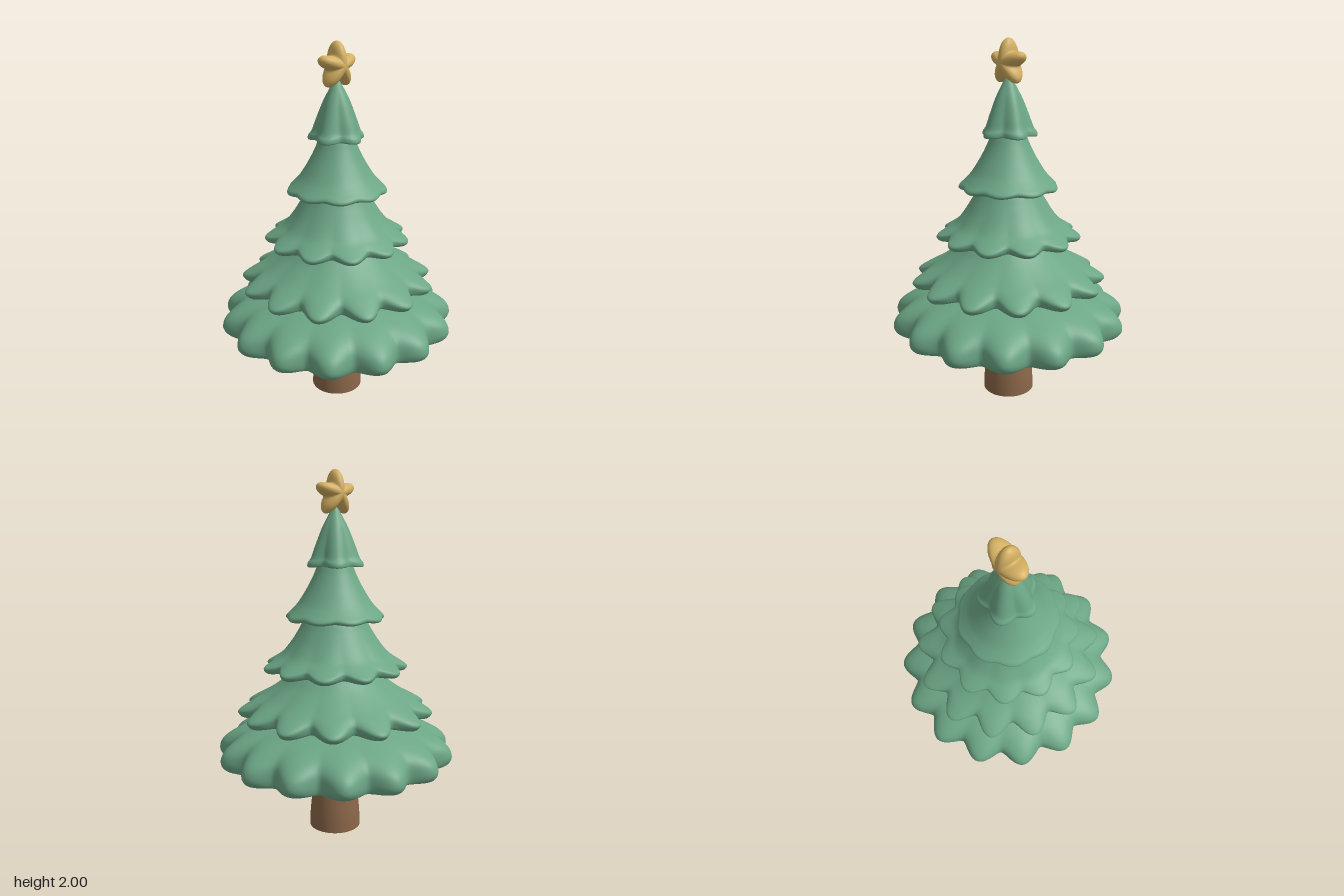
import * as THREE from 'three';
import { mergeVertices } from 'three/addons/utils/BufferGeometryUtils.js';

const mat = (name, color) => {
  const m = new THREE.MeshStandardMaterial({ color });
  m.name = name;
  return m;
};

// Weld the seam of a reshaped geometry and give it smooth normals
function smooth(geo) {
  geo.deleteAttribute('uv');
  geo.deleteAttribute('normal');
  const welded = mergeVertices(geo, 1e-5);
  welded.computeVertexNormals();
  return welded;
}

const curvePoints = (pts, n) =>
  new THREE.SplineCurve(pts.map(([r, y]) => new THREE.Vector2(r, y)))
    .getPoints(n)
    .map((p) => new THREE.Vector2(Math.max(p.x, 0), p.y));

// A revolved skirt of branches whose rim is pulled in between the lobes.
// profile runs from the underside centre, round the rim, up to the tip.
function tierGeometry({ lobes, valley, lift, fade, profile }) {
  const pts = curvePoints(profile, 56);
  pts[0].x = 0;
  pts[pts.length - 1].x = 0;
  const rim = Math.max(...pts.map((p) => p.x));
  const geo = new THREE.LatheGeometry(pts, lobes * 16);
  const pos = geo.attributes.position;
  for (let i = 0; i < pos.count; i++) {
    const x = pos.getX(i), z = pos.getZ(i);
    const wave = Math.pow((1 + Math.cos(lobes * Math.atan2(x, z))) / 2, 0.75);
    const weight = Math.pow(Math.hypot(x, z) / rim, fade) * (1 - wave);
    const k = 1 - (1 - valley / rim) * weight;
    pos.setXYZ(i, x * k, pos.getY(i) + lift * weight, z * k);
  }
  return smooth(geo);
}

const TIERS = [
  { name: 'bottomBranches', lobes: 15, valley: 0.58, lift: 0, fade: 5,
    profile: [[0, 0.57], [0.25, 0.51], [0.5, 0.44], [0.61, 0.416], [0.645, 0.425], [0.661, 0.465],
      [0.635, 0.52], [0.55, 0.575], [0.42, 0.625], [0.27, 0.67], [0.13, 0.71], [0, 0.73]] },
  { name: 'lowerBranches', lobes: 13, valley: 0.45, lift: 0.025, fade: 4,
    profile: [[0, 0.71], [0.25, 0.7], [0.43, 0.675], [0.505, 0.66], [0.535, 0.675], [0.54, 0.7],
      [0.48, 0.74], [0.39, 0.79], [0.3, 0.855], [0.22, 0.93], [0.1, 1.0], [0, 1.02]] },
  { name: 'middleBranches', lobes: 11, valley: 0.345, lift: 0.02, fade: 4,
    profile: [[0, 0.97], [0.2, 0.96], [0.32, 0.935], [0.37, 0.92], [0.395, 0.93], [0.398, 0.95],
      [0.36, 0.975], [0.3, 1.015], [0.245, 1.08], [0.2, 1.15], [0.16, 1.215], [0.08, 1.28], [0, 1.3]] },
  { name: 'upperBranches', lobes: 9, valley: 0.26, lift: 0.01, fade: 4,
    profile: [[0, 1.25], [0.15, 1.235], [0.23, 1.21], [0.26, 1.203], [0.273, 1.212], [0.268, 1.228],
      [0.24, 1.255], [0.2, 1.3], [0.15, 1.38], [0.115, 1.45], [0.09, 1.51], [0.05, 1.56], [0, 1.57]] },
  { name: 'topBranches', lobes: 5, valley: 0.122, lift: 0.008, fade: 1,
    profile: [[0, 1.53], [0.08, 1.515], [0.13, 1.494], [0.15, 1.49], [0.157, 1.497], [0.153, 1.515],
      [0.135, 1.54], [0.112, 1.6], [0.075, 1.69], [0.038, 1.76], [0.014, 1.8], [0, 1.81]] },
];

// A puffy five-pointed star shaped from a sphere with its poles along z
function starGeometry() {
  const geo = new THREE.SphereGeometry(1, 80, 40);
  geo.rotateX(Math.PI / 2);
  const pos = geo.attributes.position;
  for (let i = 0; i < pos.count; i++) {
    const x = pos.getX(i), y = pos.getY(i);
    const point = (1 + Math.cos(5 * Math.atan2(x, y))) / 2;
    const r = 0.065 + 0.06 * point;
    pos.setXYZ(i, x * r, y * r, pos.getZ(i) * 0.065);
  }
  return smooth(geo);
}

export function createModel() {
  const green = mat('pine green', 0x6ca686);
  const brown = mat('bark brown', 0x8b6749);
  const gold = mat('star gold', 0xd4b062);

  const tree = new THREE.Group();
  tree.name = 'tree';
  const add = (parent, name, geo, material) => {
    const mesh = new THREE.Mesh(geo, material);
    mesh.name = name;
    parent.add(mesh);
    return mesh;
  };

  // Trunk: bulging side with flat ends
  const trunk = new THREE.Group();
  trunk.name = 'trunk';
  tree.add(trunk);
  const side = curvePoints([[0.145, 0], [0.14, 0.1], [0.124, 0.23], [0.095, 0.365]], 16);
  add(trunk, 'trunkSide', new THREE.LatheGeometry(side, 48), brown);
  add(trunk, 'trunkBase', new THREE.CircleGeometry(0.145, 48).rotateX(Math.PI / 2), brown);
  add(trunk, 'trunkTop', new THREE.CircleGeometry(0.095, 48).rotateX(-Math.PI / 2), brown).position.y = 0.365;

  // Branch tiers
  for (const tier of TIERS) add(tree, tier.name, tierGeometry(tier), green);

  // Star
  add(tree, 'star', starGeometry(), gold).position.y = 1.875;

  return tree;
}
